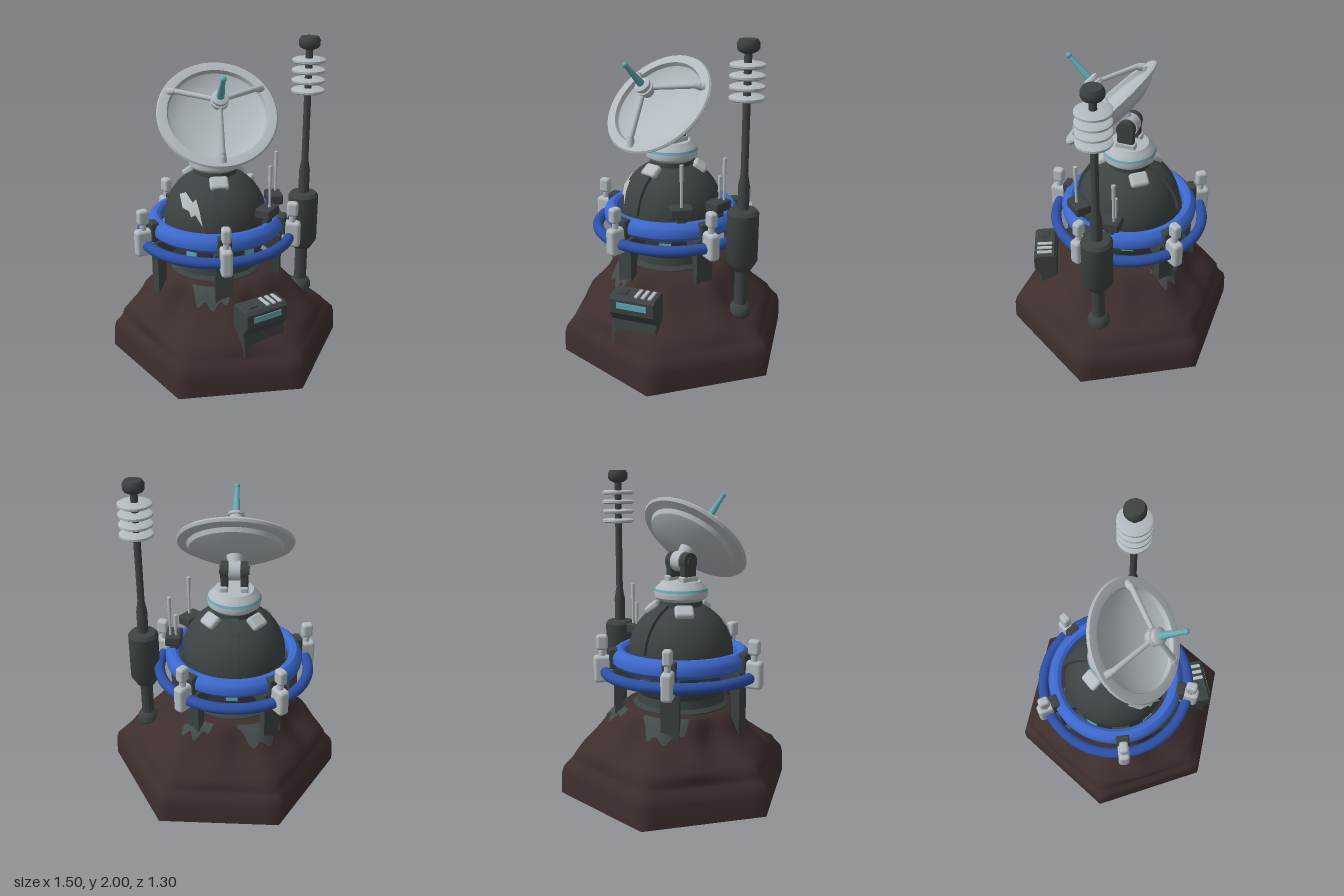
import * as THREE from 'three';
import { toCreasedNormals } from 'three/addons/utils/BufferGeometryUtils.js';
import { RoundedBoxGeometry } from 'three/addons/geometries/RoundedBoxGeometry.js';

const mat = (name, color, side = THREE.FrontSide) => {
  const m = new THREE.MeshStandardMaterial({ color, side });
  m.name = name;
  return m;
};
const rock = mat('brown rock', 0x3e2e2e);
const dark = mat('dark metal', 0x3c4342);
const white = mat('pale metal', 0xb3bbc0, THREE.DoubleSide);
const blue = mat('bright blue', 0x3d69d0);
const deepBlue = mat('deep blue', 0x2d50a6);
const cyan = mat('cyan glass', 0x66a9b3);
const moss = mat('worn grey', 0x434b4b, THREE.DoubleSide);

const CX = -0.065, CZ = -0.024; // axis of the station
const FIFTH = Math.PI * 2 / 5;
const V = (x, y, z) => new THREE.Vector3(x, y, z);

function add(parent, name, geo, material, x = 0, y = 0, z = 0) {
  const m = new THREE.Mesh(geo, material);
  m.name = name;
  m.position.set(x, y, z);
  parent.add(m);
  return m;
}
const group = (parent, name, x = 0, y = 0, z = 0, ry = 0) => {
  const g = new THREE.Group();
  g.name = name;
  g.position.set(x, y, z);
  g.rotation.y = ry;
  parent.add(g);
  return g;
};
const box = (w, h, d, r = 0.012) => new RoundedBoxGeometry(w, h, d, 2, r);
const lathe = (pts, seg = 48) => toCreasedNormals(
  new THREE.LatheGeometry(pts.map(p => new THREE.Vector2(...p)), seg), 0.6);
function rod(parent, name, material, a, b, r0, r1 = r0) {
  const d = b.clone().sub(a);
  const m = add(parent, name, new THREE.CylinderGeometry(r1, r0, d.length(), 14), material);
  m.position.copy(a).addScaledVector(d, 0.5);
  m.quaternion.setFromUnitVectors(V(0, 1, 0), d.normalize());
}

// Hill: hexagonal foot blending into a lumpy round mound. Rows are [y, radius].
const MOUND = [[0.23, 0.64], [0.26, 0.61], [0.3, 0.565], [0.36, 0.505], [0.42, 0.45], [0.48, 0.415], [0.53, 0.385], [0.56, 0.35]];
const hexRadius = phi => {
  const s = Math.PI / 3, a = ((phi % s) + s) % s;
  return 0.65 / Math.cos(Math.min(a, s - a));
};
function moundRadius(phi, y) {
  let i = 0;
  while (i < MOUND.length - 2 && y > MOUND[i + 1][0]) i++;
  const [y0, r0] = MOUND[i], [y1, r1] = MOUND[i + 1];
  const k = Math.sin(Math.PI * Math.min(1, (y - 0.2) / 0.4));
  const round = r0 + (r1 - r0) * (y - y0) / (y1 - y0)
    + k * (0.04 * Math.sin(phi) + 0.028 * Math.cos(5 * phi) + 0.014 * Math.sin(11 * phi));
  return THREE.MathUtils.lerp(hexRadius(phi) * 0.91, round, THREE.MathUtils.smoothstep(y, 0.2, 0.36));
}
function hill(parent) {
  const foot = [[0, 0], [0, 1], [0.13, 0.992], [0.175, 0.975], [0.205, 0.935]];
  const rows = [...foot, ...MOUND, [0.57, 0.2], [0.57, 0]];
  const g = new THREE.LatheGeometry(rows.map((_, i) => new THREE.Vector2(1, i)), 72);
  const p = g.attributes.position;
  for (let i = 0; i < p.count; i++) {
    const phi = Math.atan2(p.getX(i), p.getZ(i)), j = Math.round(p.getY(i)), [y, s] = rows[j];
    const onFoot = j < foot.length, isMound = !onFoot && j < foot.length + MOUND.length;
    const r = onFoot ? hexRadius(phi) * s : isMound ? moundRadius(phi, y) : s;
    const c = THREE.MathUtils.smoothstep(y, 0.2, 0.36);
    p.setXYZ(i, Math.sin(phi) * r + CX * c, y, Math.cos(phi) * r + CZ * c);
  }
  add(parent, 'hill', toCreasedNormals(g, 1.1), rock);
}
// Ragged worn patches lying on the mound
function patch(parent, start, length, low) {
  const n = 6, g = new THREE.LatheGeometry(Array.from({ length: n + 1 }, (_, i) => new THREE.Vector2(1, i)), 24, start, length);
  const p = g.attributes.position;
  for (let i = 0; i < p.count; i++) {
    const k = Math.floor(i / (n + 1)) / 24, phi = start + k * length;
    const edge = low + 0.022 * Math.sin(k * 19) + 0.09 * Math.abs(2 * k - 1) ** 3;
    const y = edge + (0.56 - edge) * (i % (n + 1)) / n;
    const r = moundRadius(phi, y) + 0.008;
    p.setXYZ(i, Math.sin(phi) * r + CX, y, Math.cos(phi) * r + CZ);
  }
  g.computeVertexNormals();
  add(parent, 'wornPatch', g, moss);
}

// Drum, dome, ribs, pads and collar, centred on the station axis
const DOME_Y = 0.885, DOME_R = 0.326;
function station(parent) {
  const s = group(parent, 'station', CX, 0, CZ);
  const profile = [[0.3, 0.48], [0.3, 0.57], [0.275, 0.59], [0.268, 0.64], [0.3, 0.69], [0.303, 0.8], [0.324, 0.85]];
  for (let i = 0; i <= 12; i++) {
    const a = i / 12 * 1.15;
    profile.push([DOME_R * Math.cos(a), DOME_Y + DOME_R * Math.sin(a)]);
  }
  add(s, 'dome', lathe([...profile, [0.13, 1.235], [0, 1.235]]), dark);
  for (const a of [0, Math.PI]) {
    const arc = new THREE.Shape();
    arc.absarc(0, 0, DOME_R + 0.018, 0.1, 1.15, false);
    arc.absarc(0, 0, DOME_R - 0.02, 1.15, 0.1, true);
    const geo = new THREE.ExtrudeGeometry(arc, { depth: 0.065, bevelEnabled: false, curveSegments: 16 });
    geo.translate(0, 0, -0.0325);
    add(s, 'domeRib', toCreasedNormals(geo, 0.5), dark, 0, DOME_Y, 0).rotation.y = a - Math.PI / 2;
  }
  for (const a of [0, 2.25, -2.25]) {
    const g = group(s, 'domePad', 0, 0, 0, a);
    add(g, 'pad', box(0.115, 0.045, 0.09, 0.018), white, 0, 1.165, 0.18).rotation.x = 0.65;
  }
  add(s, 'collar', lathe([[0, 1.215], [0.14, 1.215], [0.162, 1.235], [0.166, 1.265], [0.16, 1.285],
    [0.14, 1.305], [0.12, 1.33], [0, 1.335]]), white);
  add(s, 'collarStripe', new THREE.CylinderGeometry(0.16, 0.1665, 0.016, 48, 1, true), cyan, 0, 1.28, 0);
  // chipped paint flake following the dome
  const flake = new THREE.ShapeGeometry(new THREE.Shape([[-0.235, 1.09], [-0.2, 1.11], [-0.165, 1.07], [-0.145, 1.09],
    [-0.13, 1.03], [-0.115, 0.94], [-0.155, 1.005], [-0.18, 0.99], [-0.19, 1.02], [-0.225, 1.03]]
    .map(q => new THREE.Vector2(...q))));
  const p = flake.attributes.position, R = DOME_R + 0.01;
  for (let i = 0; i < p.count; i++)
    p.setZ(i, Math.sqrt(R * R - p.getX(i) ** 2 - (p.getY(i) - DOME_Y) ** 2));
  flake.computeVertexNormals();
  add(s, 'paintFlake', flake, white);

  // Two ring rails
  add(s, 'upperRing', lathe([[0.348, 0.835], [0.365, 0.812], [0.41, 0.812], [0.43, 0.835], [0.433, 0.87], [0.42, 0.9],
    [0.395, 0.92], [0.372, 0.92], [0.352, 0.905], [0.345, 0.875], [0.348, 0.835]], 64), blue);
  const ring = new THREE.TorusGeometry(0.475, 0.034, 14, 72);
  ring.rotateX(Math.PI / 2);
  add(s, 'lowerRing', ring, deepBlue, 0, 0.778, 0);

  // Five legs with clamps, and windows between them
  const leg = new THREE.Shape();
  leg.moveTo(0.42, 0.36);
  leg.lineTo(0.42, 0.8);
  leg.lineTo(0.28, 0.8);
  leg.lineTo(0.28, 0.73);
  leg.quadraticCurveTo(0.365, 0.73, 0.368, 0.62);
  leg.lineTo(0.368, 0.36);
  for (let i = 0; i < 5; i++) {
    const g = group(s, 'legAndClamp', 0, 0, 0, i * FIFTH);
    const geo = new THREE.ExtrudeGeometry(leg, { depth: 0.11, bevelEnabled: false });
    geo.translate(0, 0, -0.055);
    add(g, 'leg', toCreasedNormals(geo, 0.5), dark).rotation.y = -Math.PI / 2;
    add(g, 'ringClip', box(0.085, 0.125, 0.055), dark, 0, 0.86, 0.424);
    add(g, 'clampBody', box(0.07, 0.17, 0.115, 0.022), white, 0, 0.795, 0.487);
    add(g, 'clampStem', new THREE.CylinderGeometry(0.02, 0.02, 0.06, 14), white, 0, 0.895, 0.49);
    add(g, 'clampKnob', box(0.056, 0.095, 0.07, 0.018), white, 0, 0.962, 0.49);
    const w = group(s, 'window', 0, 0, 0, (i + 0.5) * FIFTH);
    add(w, 'windowFrame', box(0.09, 0.065, 0.02, 0.008), dark, 0, 0.735, 0.296);
    add(w, 'windowGlass', new THREE.BoxGeometry(0.072, 0.042, 0.008), cyan, 0, 0.733, 0.305);
  }
}

// Dish on a forked pivot, tilted halfway up
function dish(parent) {
  const yoke = group(parent, 'yoke', CX, 0, CZ);
  for (const sx of [-1, 1]) {
    add(yoke, 'forkFoot', box(0.05, 0.05, 0.13), white, sx * 0.062, 1.34, 0);
    add(yoke, 'forkArm', box(0.046, 0.13, 0.105), dark, sx * 0.06, 1.395, 0);
    add(yoke, 'forkEye', new THREE.CylinderGeometry(0.056, 0.056, 0.046, 24), dark, sx * 0.06, 1.45, 0).rotation.z = Math.PI / 2;
  }
  add(yoke, 'pivot', new THREE.CylinderGeometry(0.028, 0.028, 0.18, 20), dark, 0, 1.45, 0).rotation.z = Math.PI / 2;
  add(yoke, 'pivotBall', new THREE.CylinderGeometry(0.062, 0.062, 0.07, 24), white, 0, 1.45, 0).rotation.z = Math.PI / 2;

  const d = group(parent, 'dish', CX, 1.58, 0.095);
  d.rotation.x = Math.PI / 4;
  add(d, 'reflector', lathe([[0, -0.092], [0.2, -0.085], [0.28, -0.05], [0.295, -0.025], [0.35, -0.015], [0.36, 0],
    [0.352, 0.012], [0.32, 0.014], [0.298, 0.012], [0.29, -0.015], [0.26, -0.035], [0.2, -0.055], [0.1, -0.075], [0, -0.08]], 64), white);
  rod(d, 'neck', white, V(0, -0.175, 0), V(0, -0.08, 0), 0.035, 0.055);
  for (let i = 0; i < 3; i++) {
    const a = i * Math.PI * 2 / 3, sx = Math.sin(a), cz = Math.cos(a);
    const at = (r, n) => V(sx * r, n, cz * r);
    rod(d, 'strut', white, at(0.305, 0.03), at(0.03, 0.14), 0.017, 0.014);
    rod(d, 'strutFoot', white, at(0.32, 0.005), at(0.275, 0.045), 0.026, 0.018);
  }
  add(d, 'feedHub', lathe([[0, 0.1], [0.035, 0.1], [0.042, 0.125], [0.052, 0.13], [0.052, 0.15], [0.042, 0.155],
    [0.042, 0.165], [0.05, 0.17], [0.05, 0.185], [0.03, 0.195], [0, 0.195]], 28), white);
  rod(d, 'feedHorn', cyan, V(0, 0.19, 0), V(0, 0.365, 0), 0.024, 0.012);
  add(d, 'feedTip', new THREE.SphereGeometry(0.018, 14, 10), cyan, 0, 0.367, 0);
}

// Tall mast with a canister and insulator discs
function mast(parent) {
  const m = group(parent, 'mast', 0.508, 0, -0.033);
  add(m, 'mastBody', lathe([[0, 0.3], [0.05, 0.31], [0.07, 0.335], [0.07, 0.36], [0.055, 0.39], [0.04, 0.4], [0.04, 0.62],
    [0.06, 0.63], [0.095, 0.69], [0.095, 0.99], [0.08, 1.01], [0.034, 1.015], [0.034, 1.16], [0.022, 1.23],
    [0.022, 1.92], [0.035, 1.925], [0.055, 1.935], [0.064, 1.95], [0.064, 1.98], [0.052, 2], [0, 2]], 32), dark);
  for (let i = 0; i < 4; i++)
    add(m, 'insulator', lathe([[0.02, -0.013], [0.09, -0.013], [0.102, -0.006], [0.102, 0.006], [0.09, 0.013], [0.02, 0.013]], 32),
      white, 0, 1.675 + i * 0.061, 0);
}

// Slanted control console on the slope
function consoleDesk(parent) {
  const c = group(parent, 'console', 0.14, 0, 0.503, 0.41);
  const side = new THREE.Shape([[-0.075, 0.2], [0.045, 0.22], [0.025, 0.36], [0.065, 0.42], [0.065, 0.505], [0.05, 0.52],
    [-0.06, 0.525], [-0.075, 0.51]].map(q => new THREE.Vector2(...q)));
  const geo = new THREE.ExtrudeGeometry(side, { depth: 0.28, bevelSize: 0.006, bevelThickness: 0.006, bevelSegments: 1 });
  geo.translate(0, 0, -0.14);
  add(c, 'desk', toCreasedNormals(geo, 0.4), dark).rotation.y = -Math.PI / 2;
  add(c, 'screen', new THREE.BoxGeometry(0.19, 0.038, 0.008), cyan, 0, 0.472, 0.072);
  for (let i = 0; i < 3; i++) add(c, 'slider', box(0.024, 0.014, 0.1, 0.005), white, 0.02 + i * 0.043, 0.53, 0.0);
  add(c, 'keypad', box(0.06, 0.014, 0.06, 0.005), dark, -0.075, 0.53, 0.0);
}

// Small instrument boxes with whip aerials beside the dome
function instrument(parent, x, z, turn, rods) {
  const g = group(parent, 'instrument', x, 0, z, turn);
  add(g, 'instrumentBox', box(0.14, 0.065, 0.1), dark, 0, 0.985, 0);
  add(g, 'instrumentFoot', box(0.06, 0.11, 0.05), dark, 0, 0.92, 0);
  for (const [dx, dz, top] of rods) {
    rod(g, 'aerial', white, V(dx, 1.0, dz), V(dx, top - 0.08, dz), 0.008);
    rod(g, 'aerialTip', white, V(dx, top - 0.1, dz), V(dx, top, dz), 0.012);
  }
}

export function createModel() {
  const root = new THREE.Group();
  root.name = 'relayStation';
  hill(root);
  patch(root, -0.55, 0.65, 0.46);
  patch(root, 2.3, 0.55, 0.49);
  patch(root, 3.25, 0.8, 0.45);
  station(root);
  dish(root);
  mast(root);
  consoleDesk(root);
  instrument(root, 0.312, -0.04, Math.PI / 2, [[0.03, 0.018, 1.28], [0.03, -0.017, 1.16]]);
  instrument(root, 0.225, 0.2, 0.9, [[0, 0.015, 1.28]]);
  return root;
}
